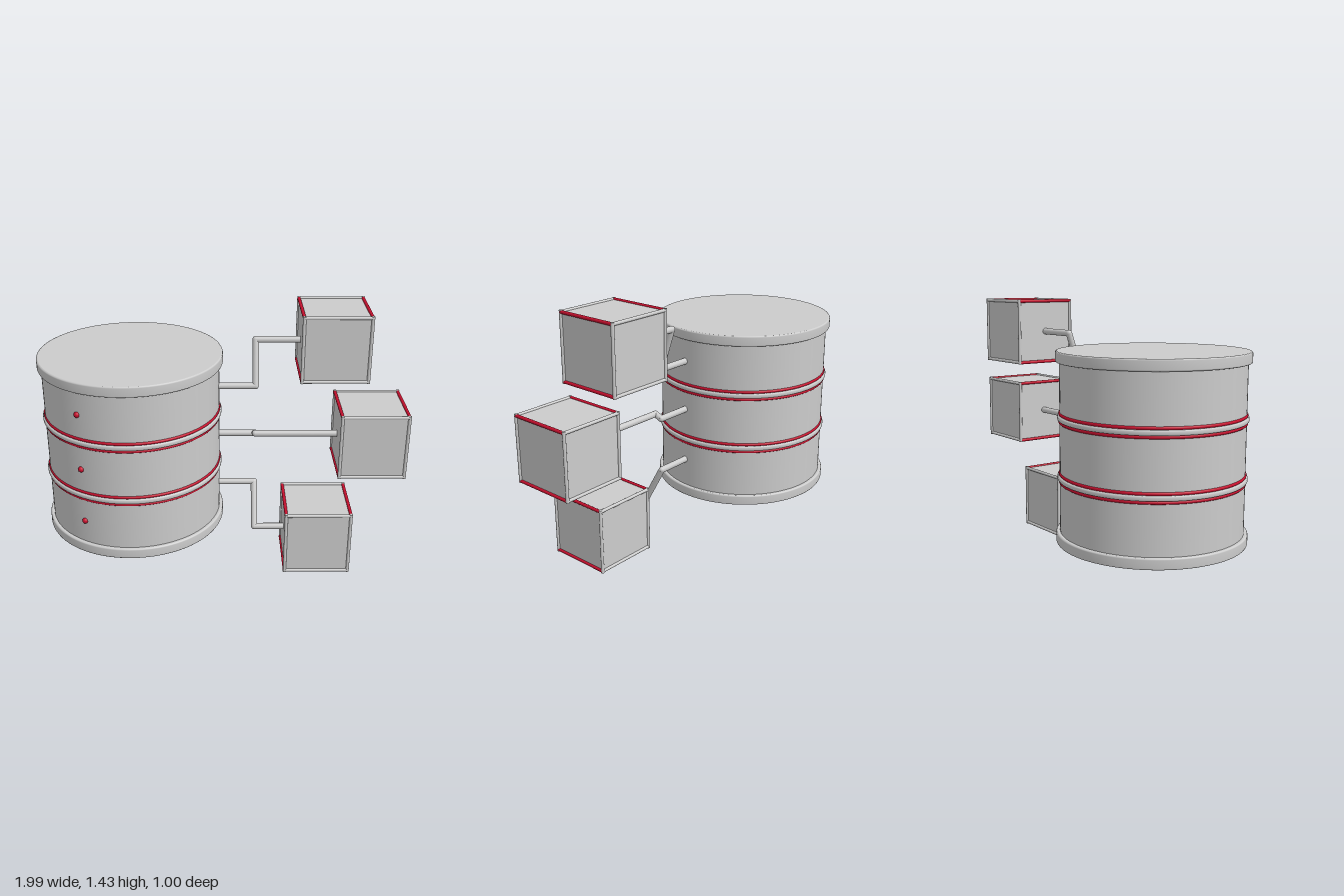
import * as THREE from 'three';

const grey = new THREE.MeshStandardMaterial({ color: 0xcccccc });
const red = new THREE.MeshStandardMaterial({ color: 0xc8102e });
const UP = new THREE.Vector3(0, 1, 0);

function add(parent, name, geometry, material, x = 0, y = 0, z = 0) {
  const mesh = new THREE.Mesh(geometry, material);
  mesh.name = name;
  mesh.position.set(x, y, z);
  parent.add(mesh);
  return mesh;
}

// Round rod between two points
function rod(parent, name, a, b, radius, material = grey) {
  const dir = b.clone().sub(a);
  const mesh = add(parent, name, new THREE.CylinderGeometry(radius, radius, dir.length(), 20), material);
  mesh.position.copy(a).add(b).multiplyScalar(0.5);
  mesh.quaternion.setFromUnitVectors(UP, dir.normalize());
}

// Rim with softened edges; each corner point is doubled to keep flat caps crisp
function rimGeometry(r, h) {
  const c = 0.008, y = h / 2;
  const points = [[0, -y], [r - c, -y], [r - c, -y], [r - c * 0.3, -y + c * 0.3], [r, -y + c],
    [r, y - c], [r - c * 0.3, y - c * 0.3], [r - c, y], [r - c, y], [0, y]];
  return new THREE.LatheGeometry(points.map(p => new THREE.Vector2(...p)), 96);
}

function createBarrel() {
  const barrel = new THREE.Group();
  barrel.name = 'barrel';
  barrel.position.x = -0.5;
  add(barrel, 'barrelBody', new THREE.CylinderGeometry(0.48, 0.48, 0.94, 96), grey, 0, 0.7, 0);
  add(barrel, 'bottomRim', rimGeometry(0.5, 0.058), grey, 0, 0.23, 0);
  add(barrel, 'topRim', rimGeometry(0.5, 0.058), grey, 0, 1.17, 0);

  // Grey hoops, each edged by two red rings
  for (const y of [0.546, 0.857]) {
    add(barrel, 'hoop', rimGeometry(0.492, 0.027), grey, 0, y, 0);
    for (const s of [-1, 1]) {
      const ring = add(barrel, 'redRing', new THREE.TorusGeometry(0.477, 0.009, 10, 96), red, 0, y + s * 0.021, 0);
      ring.rotation.x = Math.PI / 2;
    }
  }

  // Red studs on the front left of the wall
  for (const y of [0.39, 0.702, 1.015]) {
    add(barrel, 'stud', new THREE.SphereGeometry(0.016, 16, 12), red, -0.24, y, 0.416);
  }
  return barrel;
}

// Cube with rods along its edges: red along z, grey along x and y
function createCube(center) {
  const cube = new THREE.Group();
  cube.name = 'cube';
  cube.position.copy(center);
  const h = 0.177, r = 0.009;
  add(cube, 'cubeBody', new THREE.BoxGeometry(2 * h, 2 * h, 2 * h), grey);
  for (const s of [-h, h]) {
    for (const t of [-h, h]) {
      rod(cube, 'edgeRodX', new THREE.Vector3(-h, s, t), new THREE.Vector3(h, s, t), r);
      rod(cube, 'edgeRodY', new THREE.Vector3(s, -h - r, t), new THREE.Vector3(s, h + r, t), r);
      rod(cube, 'edgeRodZ', new THREE.Vector3(s, t, -h), new THREE.Vector3(s, t, h), r, red);
    }
  }
  return cube;
}

// Bent arm: stem out of the barrel, slanted riser, then a run into the cube
function createArm(stemY, cubeCenter, runY, runZ) {
  const arm = new THREE.Group();
  arm.name = 'arm';
  const r = 0.018, bendX = 0.178;
  const path = [
    new THREE.Vector3(-0.06, stemY, 0.037),
    new THREE.Vector3(bendX, stemY, 0.037),
    new THREE.Vector3(bendX, runY, runZ),
    new THREE.Vector3(cubeCenter.x - 0.15, runY, runZ),
  ];
  for (let i = 0; i < 3; i++) {
    rod(arm, ['stem', 'riser', 'run'][i], path[i], path[i + 1], r);
    if (i > 0) add(arm, 'elbow', new THREE.SphereGeometry(r, 16, 12), grey, ...path[i].toArray());
  }
  arm.add(createCube(cubeCenter));
  return arm;
}

export function createModel() {
  const model = new THREE.Group();
  model.name = 'barrelWithCubes';
  model.add(createBarrel());
  model.add(createArm(1.012, new THREE.Vector3(0.597, 1.25, -0.045), 1.25, -0.045));
  model.add(createArm(0.727, new THREE.Vector3(0.808, 0.745, 0.085), 0.745, 0.08));
  model.add(createArm(0.418, new THREE.Vector3(0.522, 0.194, 0.168), 0.195, 0.165));
  return model;
}
